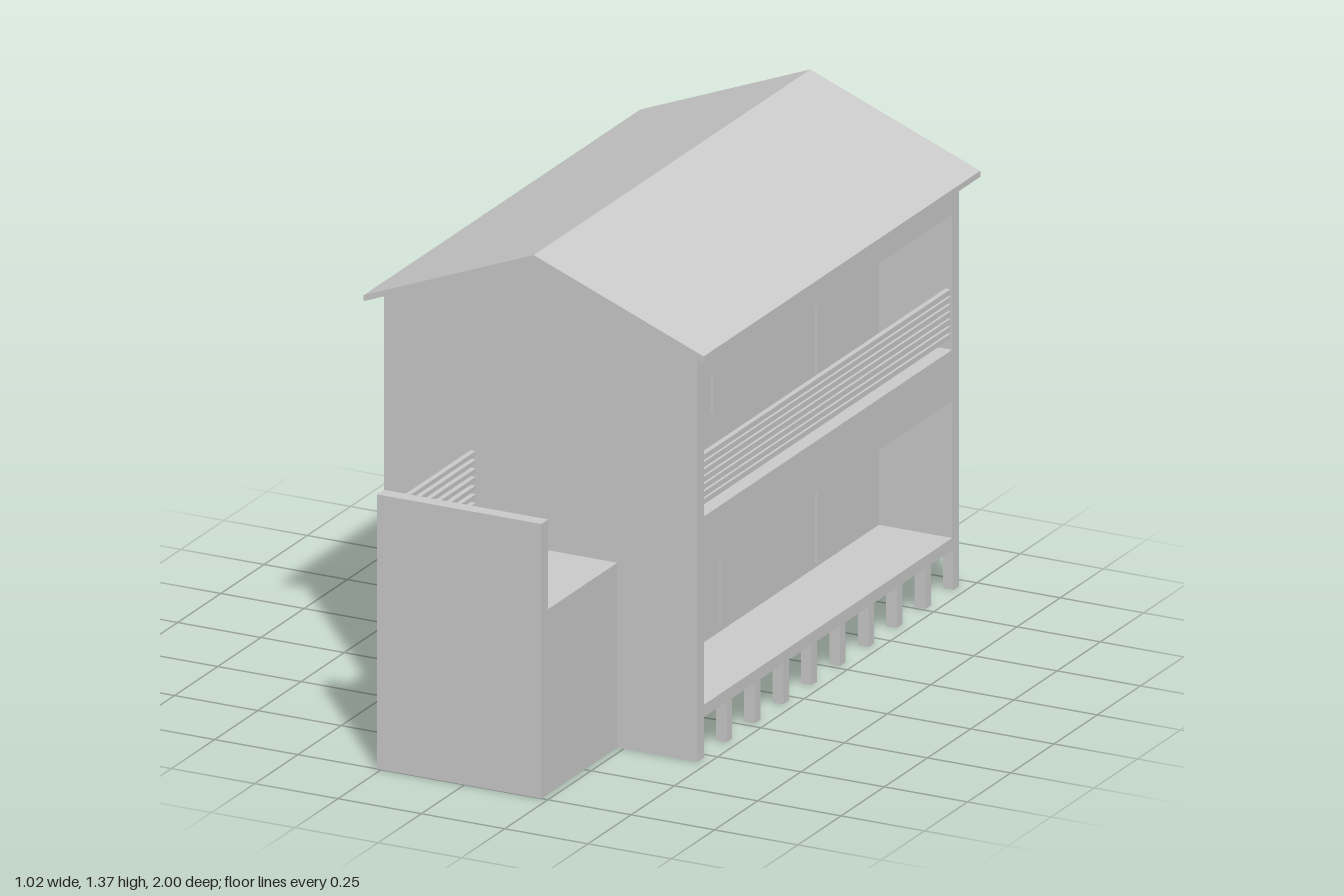
import * as THREE from 'three';

const material = new THREE.MeshStandardMaterial({ color: 0xcccccc, flatShading: true });

// Box given by its minimum and maximum along each axis
function box(parent, name, x0, x1, y0, y1, z0, z1) {
  const mesh = new THREE.Mesh(new THREE.BoxGeometry(x1 - x0, y1 - y0, z1 - z0), material);
  mesh.position.set((x0 + x1) / 2, (y0 + y1) / 2, (z0 + z1) / 2);
  mesh.name = name;
  parent.add(mesh);
}

// Box repeated on both long sides of the house
function pair(parent, name, x0, x1, ...rest) {
  box(parent, name, x0, x1, ...rest);
  box(parent, name, -x1, -x0, ...rest);
}

// Outline in x and y, extruded from z0 to z1
function prism(parent, name, points, z0, z1) {
  const shape = new THREE.Shape(points.map(([x, y]) => new THREE.Vector2(x, y)));
  const geometry = new THREE.ExtrudeGeometry(shape, { depth: z1 - z0, bevelEnabled: false });
  const mesh = new THREE.Mesh(geometry, material);
  mesh.position.z = z0;
  mesh.name = name;
  parent.add(mesh);
}

function gable(bottom) {
  return [[-0.47, bottom], [0.47, bottom], [0.47, 1.17], [0, 1.355], [-0.47, 1.17]];
}

export function createModel() {
  const house = new THREE.Group();
  house.name = 'house';

  // Roof and end walls
  prism(house, 'roof', [[-0.51, 1.155], [0, 1.355], [0.51, 1.155], [0.51, 1.172], [0, 1.373], [-0.51, 1.172]], -1, 0.6);
  prism(house, 'frontWall', gable(0), 0.52, 0.56);
  prism(house, 'backWall', gable(0.115), -0.955, -0.915);

  // Gallery floors and ceilings, inner walls
  const z0 = -0.915, z1 = 0.52;
  pair(house, 'galleryFloor', 0.25, 0.47, 0.115, 0.15, z0, z1);
  pair(house, 'upperGalleryFloor', 0.25, 0.47, 0.54, 0.685, z0, z1);
  pair(house, 'galleryCeiling', 0.25, 0.47, 1.07, 1.165, z0, z1);
  pair(house, 'innerWall', 0.22, 0.25, 0.115, 1.165, z0, z1);
  box(house, 'middleFloor', -0.22, 0.22, 0.54, 0.685, z0, z1);

  // Door leaves and window pass through the inner walls
  const leaves = [
    ['lowerDoor', 0.022, 0.265, 0.165, 0.525],
    ['lowerDoor', -0.235, 0.018, 0.165, 0.525],
    ['lowerDoor', -0.708, -0.545, 0.165, 0.525],
    ['lowerDoor', -0.875, -0.712, 0.165, 0.525],
    ['upperDoor', 0.322, 0.485, 0.7, 1.04],
    ['upperDoor', 0.145, 0.318, 0.7, 1.04],
    ['upperDoor', -0.708, -0.545, 0.7, 1.04],
    ['upperDoor', -0.875, -0.712, 0.7, 1.04],
    ['upperWindow', -0.47, 0.06, 0.79, 1.04],
  ];
  for (const [name, a, b, y0, y1] of leaves) pair(house, name, 0.212, 0.258, y0, y1, a, b);

  // Gallery railings
  for (let i = 0; i < 7; i++) {
    const y = 0.715 + i * 0.021;
    pair(house, 'galleryRail', 0.45, 0.465, y, y + 0.015, z0, z1);
  }

  // Stilts
  for (let i = 0; i < 9; i++) {
    const z = 0.375 - i * 0.1643;
    pair(house, 'stilt', 0.438, 0.47, 0, 0.116, z - 0.016, z + 0.016);
  }

  // Entrance annex with a recess on its right side and a terrace on top
  const annex = new THREE.Group();
  annex.name = 'annex';
  house.add(annex);
  box(annex, 'annexFrontWall', -0.262, 0.23, 0, 0.78, 0.96, 1);
  box(annex, 'annexSideWall', 0.2, 0.23, 0, 0.525, 0.56, 0.96);
  box(annex, 'annexTerrace', -0.245, 0.2, 0.485, 0.525, 0.56, 0.96);
  box(annex, 'annexInnerWall', -0.03, 0, 0, 0.485, 0.56, 0.96);
  box(annex, 'annexDoor', -0.038, 0.008, 0.05, 0.42, 0.66, 0.86);
  box(annex, 'annexStep', -0.245, -0.03, 0, 0.035, 0.56, 0.96);
  for (let i = 0; i < 10; i++) {
    const y = 0.536 + i * 0.0245;
    box(annex, 'terraceRail', -0.21, -0.195, y, y + 0.013, 0.56, 0.96);
  }

  return house;
}
